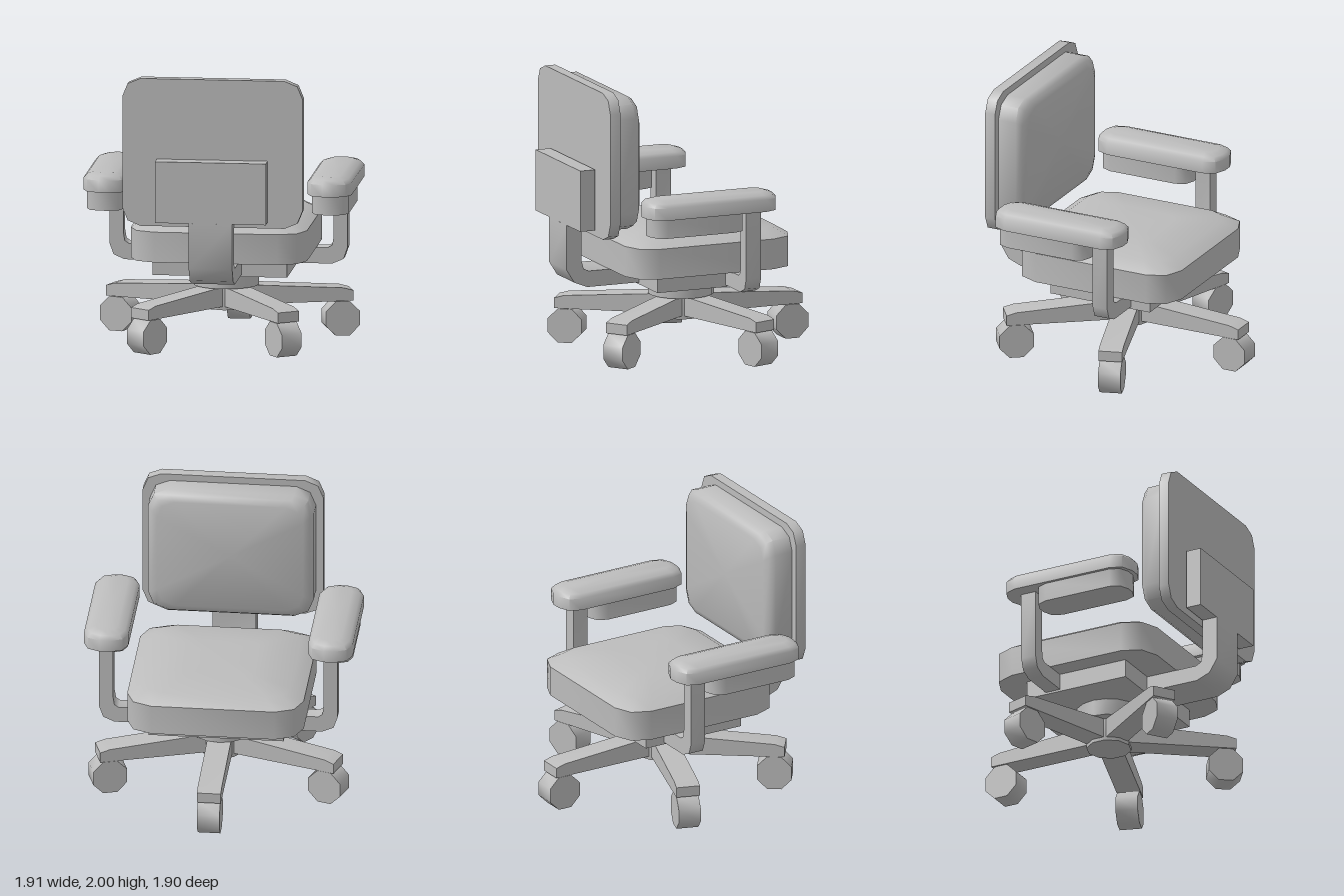
import * as THREE from 'three';
import { toCreasedNormals } from 'three/addons/utils/BufferGeometryUtils.js';

const grey = new THREE.MeshStandardMaterial({ color: 0xbcbcbc });
grey.name = 'plain grey';

const CREASE = 0.87;

function part(name, geometry, parent, x = 0, y = 0, z = 0) {
  const mesh = new THREE.Mesh(toCreasedNormals(geometry, CREASE), grey);
  mesh.name = name;
  mesh.position.set(x, y, z);
  parent.add(mesh);
  return mesh;
}

// Rounded-rectangle slab lofted upward through layers of [inset, height]
function slab(halfX, halfZ, radius, layers) {
  const positions = [];
  const rings = layers.map(([inset, y]) => {
    const hx = halfX - inset, hz = halfZ - inset, r = radius * hx / halfX;
    const ring = [];
    [[1, 1], [-1, 1], [-1, -1], [1, -1]].forEach(([sx, sz], q) => {
      for (let k = 0; k <= 2; k++) {
        const a = q * Math.PI / 2 + k * Math.PI / 4;
        ring.push([sx * (hx - r) + r * Math.cos(a), y, sz * (hz - r) + r * Math.sin(a)]);
      }
    });
    return ring;
  });
  const tri = (...corners) => corners.forEach(c => positions.push(...c));
  const n = rings[0].length;
  const last = rings.length - 1;
  for (let i = 0; i < n; i++) {
    const j = (i + 1) % n;
    for (let k = 0; k < last; k++) {
      tri(rings[k][i], rings[k + 1][i], rings[k + 1][j]);
      tri(rings[k][i], rings[k + 1][j], rings[k][j]);
    }
    tri([0, layers[0][1], 0], rings[0][i], rings[0][j]);
    tri([0, layers[last][1], 0], rings[last][j], rings[last][i]);
  }
  const geometry = new THREE.BufferGeometry();
  geometry.setAttribute('position', new THREE.Float32BufferAttribute(positions, 3));
  return geometry;
}

// Flat outline extruded to a width, centred on its own depth
function bar(points, width) {
  const shape = new THREE.Shape(points.map(([u, v]) => new THREE.Vector2(u, v)));
  return new THREE.ExtrudeGeometry(shape, { depth: width, bevelEnabled: false })
    .translate(0, 0, -width / 2);
}

export function createModel() {
  const chair = new THREE.Group();
  chair.name = 'officeChair';

  // Seat and its mounting box
  part('seatCushion', slab(0.628, 0.628, 0.19,
    [[0, 0.642], [0, 0.86], [0.1, 0.92], [0.37, 0.95]]), chair, 0, 0, -0.005);
  part('seatMount', new THREE.BoxGeometry(0.96, 0.135, 0.79), chair, 0, 0.578, -0.005);

  // Backrest: shell at the rear (+z) with the cushion facing the seat
  part('backShell', slab(0.643, 0.53, 0.13, [[0, 0], [0, 0.078]]).rotateX(-Math.PI / 2),
    chair, 0, 1.47, 0.825);
  part('backCushion', slab(0.59, 0.48, 0.14,
    [[0, 0], [0, 0.14], [0.025, 0.18], [0.07, 0.203]]).rotateX(-Math.PI / 2),
    chair, 0, 1.47, 0.75);

  // Rear bracket: plate, spacer and bent strap leading under the seat
  part('backPlate', new THREE.BoxGeometry(0.79, 0.44, 0.115), chair, 0, 1.205, 0.892);
  part('plateSpacer', new THREE.BoxGeometry(0.31, 0.3, 0.03), chair, 0, 1.2, 0.828);
  const strap = [[0.38, 0.525], [0.79, 0.525], [0.89, 0.565], [0.95, 0.66], [0.95, 0.985],
    [0.835, 0.985], [0.835, 0.72], [0.82, 0.66], [0.78, 0.64], [0.38, 0.64]];
  part('backStrap', bar(strap, 0.31).rotateY(-Math.PI / 2), chair);

  // Armrests
  const post = [[0.47, 0.525], [0.74, 0.525], [0.82, 0.56], [0.848, 0.64], [0.848, 1.145],
    [0.75, 1.145], [0.75, 0.72], [0.74, 0.66], [0.71, 0.64], [0.47, 0.64]];
  for (const side of [1, -1]) {
    const arm = new THREE.Group();
    arm.name = side > 0 ? 'leftArmrest' : 'rightArmrest';
    chair.add(arm);
    const support = part('armPost', bar(post, 0.115), arm, 0, 0, -0.192);
    if (side < 0) support.rotation.y = Math.PI, support.position.z = -0.192;
    part('armBase', slab(0.132, 0.357, 0.1, [[0, 1.003], [0, 1.14]]), arm, side * 0.802, 0, 0.247);
    part('armPad', slab(0.158, 0.5, 0.12,
      [[0, 1.138], [0, 1.225], [0.025, 1.252], [0.08, 1.27]]), arm, side * 0.798, 0, 0.135);
  }

  // Hub
  part('hub', new THREE.CylinderGeometry(0.235, 0.235, 0.125, 16), chair, 0, 0.453, 0);
  part('hubCap', new THREE.CylinderGeometry(0.16, 0.16, 0.17, 10), chair, 0, 0.31, 0);

  // Five legs with octagonal casters
  const legProfile = [[0, 0.25], [0.9, 0.25], [0.9, 0.325], [0.83, 0.345], [0, 0.4]];
  for (let i = 0; i < 5; i++) {
    const leg = new THREE.Group();
    leg.name = 'leg' + (i + 1);
    leg.rotation.y = Math.PI + i * Math.PI * 2 / 5;
    chair.add(leg);
    part('legBeam', bar(legProfile, 0.17).rotateY(-Math.PI / 2), leg);
    part('caster', new THREE.CylinderGeometry(0.1326, 0.1326, 0.16, 8)
      .rotateY(Math.PI / 8).rotateZ(Math.PI / 2), leg, 0, 0.1235, 0.826);
  }
  return chair;
}
